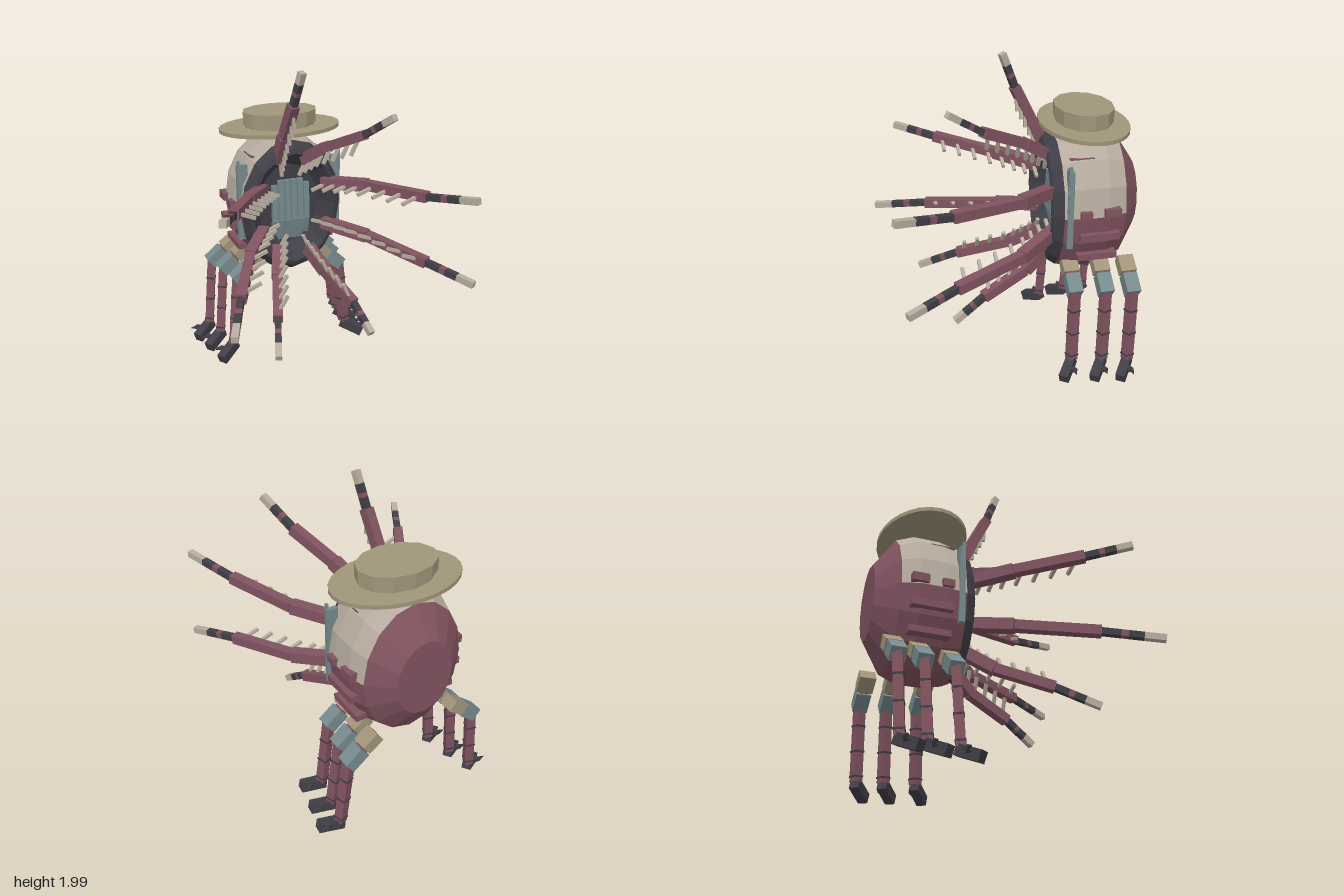
import * as THREE from 'three';

const mat = (name, color) => Object.assign(new THREE.MeshStandardMaterial({ color }), { name });

export function createModel() {
  const maroon = mat('maroon', 0x80535f);
  const pale = mat('pale', 0xb7ac9f);
  const khaki = mat('khaki', 0xa0957a);
  const teal = mat('teal', 0x768a8d);
  const dark = mat('charcoal', 0x403e46);

  const model = new THREE.Group();
  const V = (x, y, z) => new THREE.Vector3(x, y, z);
  const CX = -0.02, CY = 1.065;

  const add = (parent, name, geometry, material) => {
    const mesh = new THREE.Mesh(geometry, material);
    mesh.name = name;
    parent.add(mesh);
    return mesh;
  };
  const box = (parent, name, material, size, pos, rotZ = 0) => {
    const m = add(parent, name, new THREE.BoxGeometry(...size), material);
    m.position.set(...pos);
    m.rotation.z = rotZ;
    return m;
  };
  // Square bar running from a to b
  const bar = (parent, name, material, a, b, w, h = w) => {
    const m = add(parent, name, new THREE.BoxGeometry(w, h, a.distanceTo(b)), material);
    m.position.copy(a).lerp(b, 0.5);
    m.lookAt(b);
    return m;
  };

  // Faceted oval shell lofted through rings [z, vertical radius], over sides j0..j1
  const SIDES = 16;
  const loft = (name, material, rings, j0 = 0, j1 = SIDES) => {
    const p = ([z, r], j) => {
      const t = (j / SIDES) * Math.PI * 2;
      return [CX + Math.cos(t) * r * 0.77, CY + Math.sin(t) * r, z];
    };
    const pos = [];
    for (let i = 0; i < rings.length - 1; i++) {
      for (let j = j0; j < j1; j++) {
        const a = rings[i], b = rings[i + 1];
        pos.push(...p(a, j), ...p(b, j), ...p(a, j + 1));
        pos.push(...p(a, j + 1), ...p(b, j), ...p(b, j + 1));
      }
    }
    const g = new THREE.BufferGeometry();
    g.setAttribute('position', new THREE.Float32BufferAttribute(pos, 3));
    g.computeVertexNormals();
    add(model, name, g, material);
  };

  // Body: hollow dark face, two-tone shell, closed back
  const shell = [[-0.28, 0.445], [-0.4, 0.47], [-0.56, 0.47], [-0.67, 0.425]];
  loft('faceBowl', dark, [[-0.34, 0.001], [-0.34, 0.27], [-0.21, 0.37], [-0.22, 0.4], [-0.28, 0.445]]);
  loft('upperShell', pale, shell, 0, 8);
  loft('lowerShell', maroon, shell, 8, 16);
  loft('backShell', maroon, [[-0.67, 0.425], [-0.79, 0.24], [-0.79, 0.001]]);

  // Grille inside the bowl, with the lower part bending back
  for (let i = 0; i < 6; i++) {
    const x = CX + (i - 2.5) * 0.044;
    const trim = Math.abs(i - 2.5) > 2 ? 0.03 : 0;
    bar(model, 'grilleBar', teal, V(x, 0.97, -0.29), V(x, 1.24 - trim, -0.3), 0.036, 0.03);
    bar(model, 'grilleBarLower', teal, V(x, 0.83 + trim, -0.32), V(x, 0.97, -0.29), 0.036, 0.03);
  }

  // Side plates, slats and thin marks
  for (const s of [1, -1]) {
    const X = (x) => CX + s * x;
    box(model, 'sidePlate', teal, [0.07, 0.5, 0.03], [X(0.32), 1.12, -0.315]);
    box(model, 'sideRod', teal, [0.014, 0.53, 0.02], [X(0.345), 1.135, -0.305]);
    box(model, 'lowSlat', maroon, [0.07, 0.04, 0.25], [X(0.305), 0.79, -0.495]);
    box(model, 'midSlat', maroon, [0.07, 0.045, 0.25], [X(0.345), 0.94, -0.495]);
    box(model, 'frontSmallSlat', maroon, [0.06, 0.045, 0.07], [X(0.355), 1.09, -0.405]);
    box(model, 'backSmallSlat', maroon, [0.06, 0.05, 0.1], [X(0.355), 1.095, -0.57]);
    box(model, 'shellMark', maroon, [0.03, 0.008, 0.15], [X(0.235), 1.405, -0.405]);
  }

  // Flat-brimmed hat
  const hat = new THREE.Group();
  hat.name = 'hat';
  hat.position.set(CX, 0, -0.475);
  model.add(hat);
  const disc = (name, rx, rz, y0, y1, n) => {
    const g = new THREE.CylinderGeometry(1, 1, y1 - y0, n).toNonIndexed();
    g.scale(rx, 1, rz);
    g.computeVertexNormals();
    add(hat, name, g, khaki).position.y = (y0 + y1) / 2;
  };
  disc('brim', 0.405, 0.27, 1.54, 1.565, 28);
  disc('hatBand', 0.237, 0.172, 1.565, 1.585, 12);
  disc('crown', 0.25, 0.18, 1.585, 1.665, 12);

  // Tentacles: root, first joint, second joint, tip
  const arms = [
    [[-0.11, 1.39, -0.25], [-0.105, 1.56, -0.17], [-0.085, 1.78, -0.06], [-0.06, 1.99, 0.02]],
    [[0.06, 1.38, -0.25], [0.14, 1.5, -0.07], [0.26, 1.63, 0.2], [0.345, 1.775, 0.41]],
    [[0.19, 1.21, -0.25], [0.39, 1.24, 0.0], [0.575, 1.275, 0.43], [0.715, 1.335, 0.755]],
    [[-0.22, 1.21, -0.25], [-0.4, 1.25, 0.0], [-0.61, 1.315, 0.37], [-0.745, 1.37, 0.62]],
    [[-0.22, 0.93, -0.25], [-0.4, 0.885, 0.0], [-0.61, 0.835, 0.45], [-0.755, 0.785, 0.785]],
    [[0.19, 0.93, -0.25], [0.4, 0.89, 0.0], [0.6, 0.84, 0.42], [0.755, 0.79, 0.715]],
    [[-0.13, 0.8, -0.24], [-0.21, 0.68, -0.05], [-0.33, 0.57, 0.28], [-0.42, 0.455, 0.53]],
    [[0.08, 0.77, -0.24], [0.14, 0.65, -0.08], [0.215, 0.53, 0.2], [0.25, 0.4, 0.39]],
  ];
  for (const pts of arms) {
    const arm = new THREE.Group();
    arm.name = 'tentacle';
    model.add(arm);
    const [a, b, c, d] = pts.map((p) => V(...p));
    bar(arm, 'tentacleBase', maroon, a, b, 0.072);
    bar(arm, 'tentacleMiddle', maroon, b, c, 0.06);
    const cuts = [0, 0.3, 0.42, 0.66, 1];
    [dark, maroon, dark, pale].forEach((m, i) => {
      bar(arm, 'tentacleTip', m, c.clone().lerp(d, cuts[i]), c.clone().lerp(d, cuts[i + 1]), 0.04);
    });
    // Spikes pointing in toward the body axis
    const inward = V(CX - c.x, CY - c.y, 0).normalize();
    for (let i = 0; i < 8; i++) {
      const k = (i % 4 + 0.5) / 4;
      const p = i < 4 ? a.clone().lerp(b, k) : b.clone().lerp(c, k);
      bar(arm, 'spike', pale, p, p.clone().addScaledVector(inward, 0.125), 0.02);
    }
  }

  // Six legs, each pair set wider toward the back
  for (const s of [1, -1]) {
    [-0.35, -0.54, -0.7].forEach((z, i) => {
      const leg = new THREE.Group();
      leg.name = 'leg';
      model.add(leg);
      const P = (x, y, dz = 0) => V(CX + s * (x + i * 0.035), y, z + dz);
      bar(leg, 'hip', khaki, P(0.19, 0.72), P(0.28, 0.655), 0.1, 0.075);
      bar(leg, 'hipJoint', maroon, P(0.27, 0.66), P(0.3, 0.635), 0.06);
      bar(leg, 'thigh', teal, P(0.285, 0.645), P(0.385, 0.565), 0.09, 0.085);
      const top = P(0.37, 0.58), ankle = P(0.415, 0.11, 0.02);
      const yaw = s * Math.PI / 4;
      bar(leg, 'shin', maroon, top, ankle, 0.056).rotateZ(yaw);
      for (const k of [0.28, 0.61, 0.93]) {
        bar(leg, 'shinBand', dark, top.clone().lerp(ankle, k - 0.012),
          top.clone().lerp(ankle, k + 0.012), 0.062).rotateZ(yaw);
      }
      bar(leg, 'foot', dark, P(0.4, 0.1, 0.01), P(0.525, 0.04, 0.1), 0.06, 0.065);
      bar(leg, 'claw', dark, P(0.46, 0.075, 0.045), P(0.51, 0.085, 0.03), 0.03);
      const tip = add(leg, 'clawTip', new THREE.ConeGeometry(0.022, 0.06, 4), dark);
      tip.position.copy(P(0.53, 0.085, 0.025));
      tip.rotation.z = -s * Math.PI / 2;
    });
  }
  return model;
}
